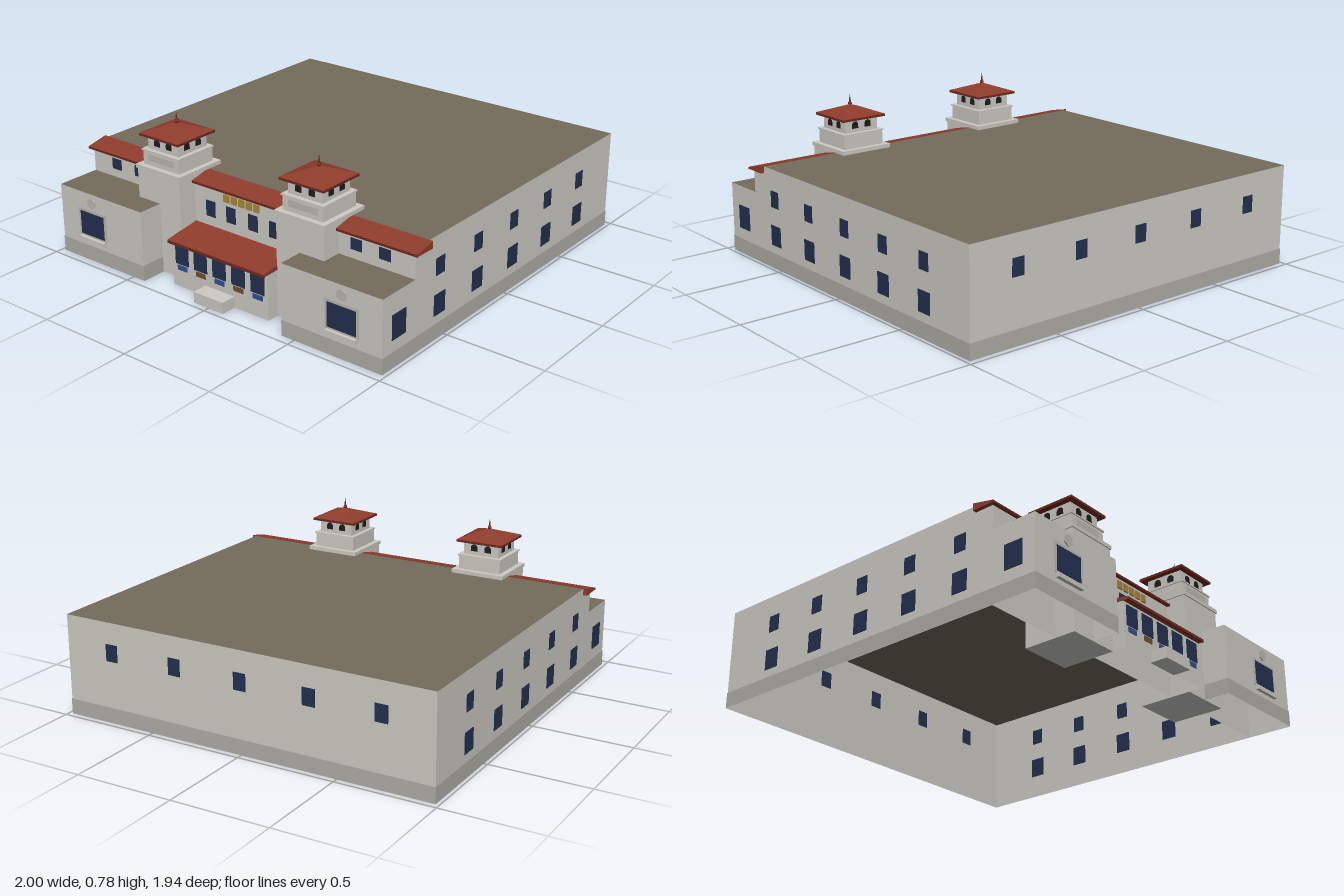
import * as THREE from 'three';

const paint = (color) => new THREE.MeshStandardMaterial({ color, side: THREE.DoubleSide, flatShading: true });

export function createModel() {
  const model = new THREE.Group();
  const wall = paint(0xcccac2), base = paint(0xafada6), trim = paint(0xbab8b0), flatRoof = paint(0x746b5b);
  const tile = paint(0x8f3c2c), eave = paint(0x6e2a1e), glass = paint(0x22304f), dark = paint(0x1c1c1c);
  const gold = paint(0xa8873a), blue = paint(0x34508f), brown = paint(0x6e5034);

  const add = (name, geo, mat, parent = model) => {
    const mesh = new THREE.Mesh(geo, mat);
    mesh.name = name;
    parent.add(mesh);
    return mesh;
  };
  // Box given by its limits
  const box = (name, x0, x1, y0, y1, z0, z1, mat, parent) => {
    const geo = new THREE.BoxGeometry(x1 - x0, y1 - y0, z1 - z0);
    geo.translate((x0 + x1) / 2, (y0 + y1) / 2, (z0 + z1) / 2);
    return add(name, geo, mat, parent);
  };
  // Open box keeping only the listed faces (0 +x, 1 -x, 2 +y, 3 -y, 4 +z, 5 -z)
  const shell = (name, x0, x1, y0, y1, z0, z1, faces, mat) => {
    const mesh = box(name, x0, x1, y0, y1, z0, z1, mat);
    const index = Array.from(mesh.geometry.index.array);
    mesh.geometry.setIndex(faces.flatMap((f) => index.slice(f * 6, f * 6 + 6)));
    mesh.geometry.clearGroups();
    return mesh;
  };
  // Thin panel on a wall: facing front (+z), side (+x or -x) or back (-z)
  const panel = (name, facing, u, y, at, w, h, mat, d = 0.004) => {
    const mesh = add(name, new THREE.BoxGeometry(w, h, d), mat);
    if (facing === 'front') mesh.position.set(u, y, at);
    else if (facing === 'back') mesh.position.set(u, y, -at);
    else {
      mesh.rotation.y = Math.PI / 2;
      mesh.position.set(at, y, u);
    }
    return mesh;
  };
  // Profile of [z, y] points swept along x
  const sweep = (name, points, x0, x1, mat) => {
    const shape = new THREE.Shape(points.map(([z, y]) => new THREE.Vector2(z, y)));
    const geo = new THREE.ExtrudeGeometry(shape, { depth: x1 - x0, bevelEnabled: false });
    geo.rotateY(-Math.PI / 2).translate(x1, 0, 0);
    return add(name, geo, mat);
  };

  // Main hall: hollow, open underneath
  shell('hallWalls', -0.98, 0.98, 0, 0.505, -0.97, 0.635, [0, 1, 5], wall);
  shell('hallRoof', -0.98, 0.98, 0, 0.505, -0.97, 0.635, [2], flatRoof);
  shell('hallFrontWall', -0.98, 0.98, 0, 0.482, 0.635, 0.725, [0, 1, 4], wall);
  shell('hallPlinth', -0.982, 0.982, 0, 0.078, -0.972, 0.725, [0, 1, 5], base);

  // Tiled strips along the front parapet
  const strip = [[0.63, 0.472], [0.742, 0.474], [0.742, 0.484], [0.63, 0.508]];
  for (const [x0, x1] of [[-1, -0.56], [-0.295, 0.295], [0.56, 1]]) {
    sweep('parapetTiles', strip, x0, x1, tile);
    box('parapetEave', x0, x1, 0.472, 0.483, 0.735, 0.744, eave);
  }

  // Back windows
  for (let i = -2; i <= 2; i++) panel('backWindow', 'back', i * 0.36, 0.355, 0.971, 0.065, 0.085, glass);

  for (const s of [-1, 1]) {
    // Side windows in two rows
    for (let i = 0; i < 5; i++) {
      const z = 0.54 - i * 0.3;
      panel('upperSideWindow', 'side', z, 0.355, s * 0.981, 0.065, 0.083, glass);
      panel('lowerSideWindow', 'side', z, 0.17, s * 0.981, 0.083, 0.102, glass);
    }

    // Low front wing
    const [x0, x1] = s < 0 ? [-0.98, -0.43] : [0.43, 0.98];
    shell('wingWalls', x0, x1, 0, 0.356, 0.725, 0.955, [0, 1, 4], wall);
    shell('wingRoof', x0, x1, 0, 0.356, 0.725, 0.955, [2], flatRoof);
    shell('wingPlinth', x0 - 0.002, x1 + 0.002, 0, 0.078, 0.725, 0.957, [0, 1, 4], base);
    const x = s * 0.765;
    panel('wingSideWindow', 'side', 0.84, 0.195, s * 0.981, 0.098, 0.12, glass);
    panel('wingWindowFrame', 'front', x, 0.198, 0.955, 0.185, 0.145, trim, 0.006);
    panel('wingWindow', 'front', x, 0.196, 0.958, 0.157, 0.12, glass, 0.006);
    box('wingWindowSill', x - 0.083, x + 0.083, 0.102, 0.124, 0.955, 0.972, wall);
    const medallion = add('wingMedallion', new THREE.CylinderGeometry(0.03, 0.03, 0.008, 6), trim);
    medallion.rotation.x = Math.PI / 2;
    medallion.position.set(x, 0.308, 0.956);
    for (const wx of [0.665, 0.82]) panel('upperFrontWindow', 'front', s * wx, 0.427, 0.726, 0.062, 0.055, glass);

    model.add(createTower(s * 0.431));
  }

  // Centre facade: upper windows and plaques
  for (const x of [-0.195, -0.068, 0.068, 0.195]) panel('centreWindow', 'front', x, 0.36, 0.726, 0.057, 0.08, glass);
  for (let i = -2; i <= 2; i++) panel('plaque', 'front', i * 0.046, 0.44, 0.728, 0.033, 0.038, gold, 0.008);

  // Entrance porch with tiled lean-to roof
  shell('porchWalls', -0.295, 0.295, 0, 0.24, 0.725, 0.89, [0, 1, 4], wall);
  sweep('porchRoof', [[0.725, 0.235], [0.918, 0.228], [0.918, 0.242], [0.725, 0.272]], -0.297, 0.297, tile);
  box('porchEave', -0.297, 0.297, 0.226, 0.24, 0.911, 0.92, eave);
  for (let i = -2; i <= 2; i++) {
    panel('porchWindow', 'front', i * 0.117, 0.168, 0.891, 0.082, 0.1, glass);
    panel('porchTilePanel', 'front', i * 0.117, 0.1, 0.891, 0.06, 0.025, i % 2 ? brown : blue);
  }
  box('entranceStep', -0.09, 0.09, 0, 0.056, 0.88, 0.97, wall);

  // Bell tower, centred on its own axis
  function createTower(x) {
    const tower = new THREE.Group();
    tower.name = 'tower';
    tower.position.set(x, 0, 0.69);
    const block = (name, r, y0, y1, mat) => box(name, -r, r, y0, y1, -r, r, mat, tower);
    block('towerShaft', 0.136, 0, 0.508, wall);
    block('towerCornice', 0.142, 0.508, 0.527, wall);
    block('towerDrum', 0.115, 0.527, 0.602, wall);
    block('drumLedge', 0.12, 0.596, 0.604, wall);
    block('belfry', 0.097, 0.604, 0.676, wall);
    block('towerEave', 0.126, 0.67, 0.682, eave);
    const roof = new THREE.ConeGeometry(0.126 * Math.SQRT2, 0.046, 4).rotateY(Math.PI / 4);
    add('towerRoof', roof, tile, tower).position.y = 0.705;
    add('finialBall', new THREE.SphereGeometry(0.01, 8, 6), eave, tower).position.y = 0.732;
    add('finial', new THREE.ConeGeometry(0.008, 0.056, 8), eave, tower).position.y = 0.754;

    // Arched openings and a panel on each face
    const arch = new THREE.Shape();
    arch.moveTo(-0.018, 0).lineTo(0.018, 0).lineTo(0.018, 0.018);
    arch.absarc(0, 0.018, 0.018, 0, Math.PI, false);
    arch.closePath();
    const archGeo = new THREE.ExtrudeGeometry(arch, { depth: 0.004, bevelEnabled: false, curveSegments: 8 });
    for (let i = 0; i < 4; i++) {
      const face = new THREE.Group();
      face.name = 'towerFace';
      face.rotation.y = (i * Math.PI) / 2;
      tower.add(face);
      for (const ax of [-0.038, 0.038]) add('belfryArch', archGeo, dark, face).position.set(ax, 0.624, 0.095);
      if (i === 0) box('drumPanel', -0.082, 0.082, 0.55, 0.584, 0.113, 0.117, trim, face);
    }
    return tower;
  }

  return model;
}
